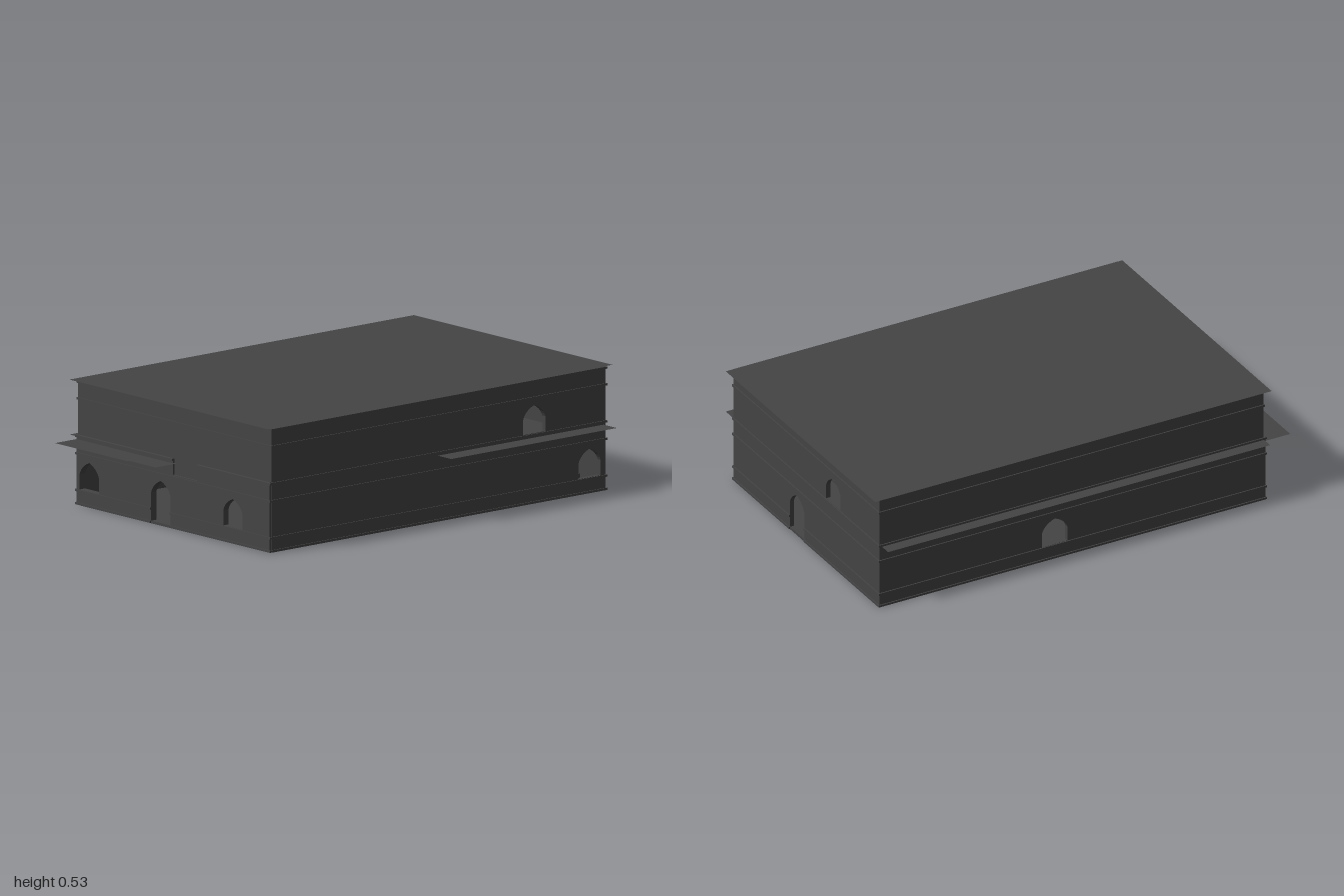
import * as THREE from 'three';

const material = new THREE.MeshStandardMaterial({ color: 0x444444, flatShading: true, side: THREE.DoubleSide });

// Outer faces of the building
const X0 = -0.633, X1 = 0.597, Z0 = -0.963, Z1 = 0.872, TOP = 0.527, T = 0.02;

export function createModel() {
  const model = new THREE.Group();
  model.name = 'building';

  function add(name, geometry, x = 0, y = 0, z = 0, turn = 0) {
    const mesh = new THREE.Mesh(geometry, material);
    mesh.name = name;
    mesh.position.set(x, y, z);
    mesh.rotation.y = turn;
    model.add(mesh);
    return mesh;
  }

  // Box given by its two opposite corners
  function block(name, x0, x1, y0, y1, z0, z1) {
    add(name, new THREE.BoxGeometry(x1 - x0, y1 - y0, z1 - z0), (x0 + x1) / 2, (y0 + y1) / 2, (z0 + z1) / 2);
  }

  // Flat sheet without thickness
  function sheet(name, points, y) {
    const shape = new THREE.Shape(points.map(([x, z]) => new THREE.Vector2(x, -z)));
    add(name, new THREE.ShapeGeometry(shape).rotateX(-Math.PI / 2), 0, y, 0);
  }

  // Pointed-arch opening centred on u
  function arch(u, bottom, top) {
    const w = 0.0615, spring = top - 0.057;
    const path = new THREE.Path();
    path.moveTo(u - w, bottom);
    path.lineTo(u + w, bottom);
    path.lineTo(u + w, spring);
    path.quadraticCurveTo(u + w * 0.8, top - 0.018, u, top);
    path.quadraticCurveTo(u - w * 0.8, top - 0.018, u - w, spring);
    path.closePath();
    return path;
  }
  const lowWindow = u => arch(u, 0.068, 0.19);
  const highWindow = u => arch(u, 0.3, 0.42);
  const door = u => arch(u, 0.011, 0.19);

  function wallGeometry(outline, holes, depth) {
    const shape = new THREE.Shape(outline.map(p => new THREE.Vector2(...p)));
    shape.holes = holes;
    return new THREE.ExtrudeGeometry(shape, { depth, bevelEnabled: false, curveSegments: 6 });
  }
  const rect = (a, b, y0, y1) => [[a, y0], [b, y0], [b, y1], [a, y1]];

  // Walls with arched doors and windows
  const frontHoles = () => [lowWindow(-0.552), door(-0.097), lowWindow(0.361)];
  add('frontWall', wallGeometry(rect(X0, X1, 0, TOP), frontHoles(), T), 0, 0, Z1 - T);
  add('backWall', wallGeometry(rect(X0, X1, 0, TOP), [door(0.06), highWindow(-0.246)], T), 0, 0, Z0);
  const side = rect(-Z1 + T, -Z0 - T, 0, TOP);
  add('leftWall', wallGeometry(side, [lowWindow(0.875), highWindow(0.571)], T), X1 - T, 0, 0, Math.PI / 2);
  add('rightWall', wallGeometry(side, [lowWindow(0.125)], T), X0, 0, 0, Math.PI / 2);

  // Thicker lower front with a notch in its upper edge
  const facing = [[X0, 0], [X1 - 0.005, 0], [X1 - 0.005, 0.298], [0.133, 0.298],
    [0.133, 0.229], [-0.021, 0.229], [-0.021, 0.298], [X0, 0.298]];
  add('frontFacing', wallGeometry(facing, frontHoles(), 0.009), 0, 0, Z1);

  // Trim bands around the walls, interrupted at the doors and the notch
  const doorFront = [-0.159, -0.035], doorBack = [-0.002, 0.122];
  const bands = [
    { y: 0.002, front: doorFront, back: doorBack },
    { y: 0.058, front: doorFront, back: doorBack },
    { y: 0.215 },
    { y: 0.289, front: [-0.021, 0.133] },
    { y: 0.447 },
    { y: 0.518 },
  ];
  const out = 0.005;
  for (const { y, front, back } of bands) {
    const y1 = y + 0.009, zFront = y < 0.3 ? Z1 + 0.009 : Z1;
    const run = (gap, z0, z1) => {
      const spans = gap ? [[X0 - out, gap[0]], [gap[1], X1 + out]] : [[X0 - out, X1 + out]];
      for (const [a, b] of spans) block('trimBand', a, b, y, y1, z0, z1);
    };
    run(front, zFront, zFront + out);
    run(back, Z0 - out, Z0);
    block('trimBand', X0 - out, X0, y, y1, Z0, zFront);
    block('trimBand', X1, X1 + out, y, y1, Z0, zFront);
  }

  // Floors and roof
  block('groundFloor', X0, X1, 0, 0.008, Z0, Z1);
  block('upperFloor', X0 + T, X1 - T, 0.255, 0.265, Z0 + 0.13, Z1 - T);
  sheet('roof', rect(-0.664, 0.598, -1, 0.894), 0.529);

  // Awnings
  sheet('frontAwning', [[-0.633, Z1], [-0.005, Z1], [-0.005, 0.99], [-0.175, 0.99], [-0.175, 1], [-0.633, 1]], 0.279);
  sheet('leftAwning', rect(X1, 0.683, -0.952, -0.04), 0.281);
  sheet('rightAwning', rect(-0.688, X0, -0.952, 0.873), 0.288);

  // Inner staircase along the back wall
  const steps = 12, run = 0.042, rise = 0.255 / steps;
  for (let i = 0; i < steps; i++) {
    const x = 0.5 - i * run, top = 0.008 + (i + 1) * rise;
    block('stairStep', x - run, x, top - rise, top, Z0 + T, Z0 + 0.12);
  }

  return model;
}
